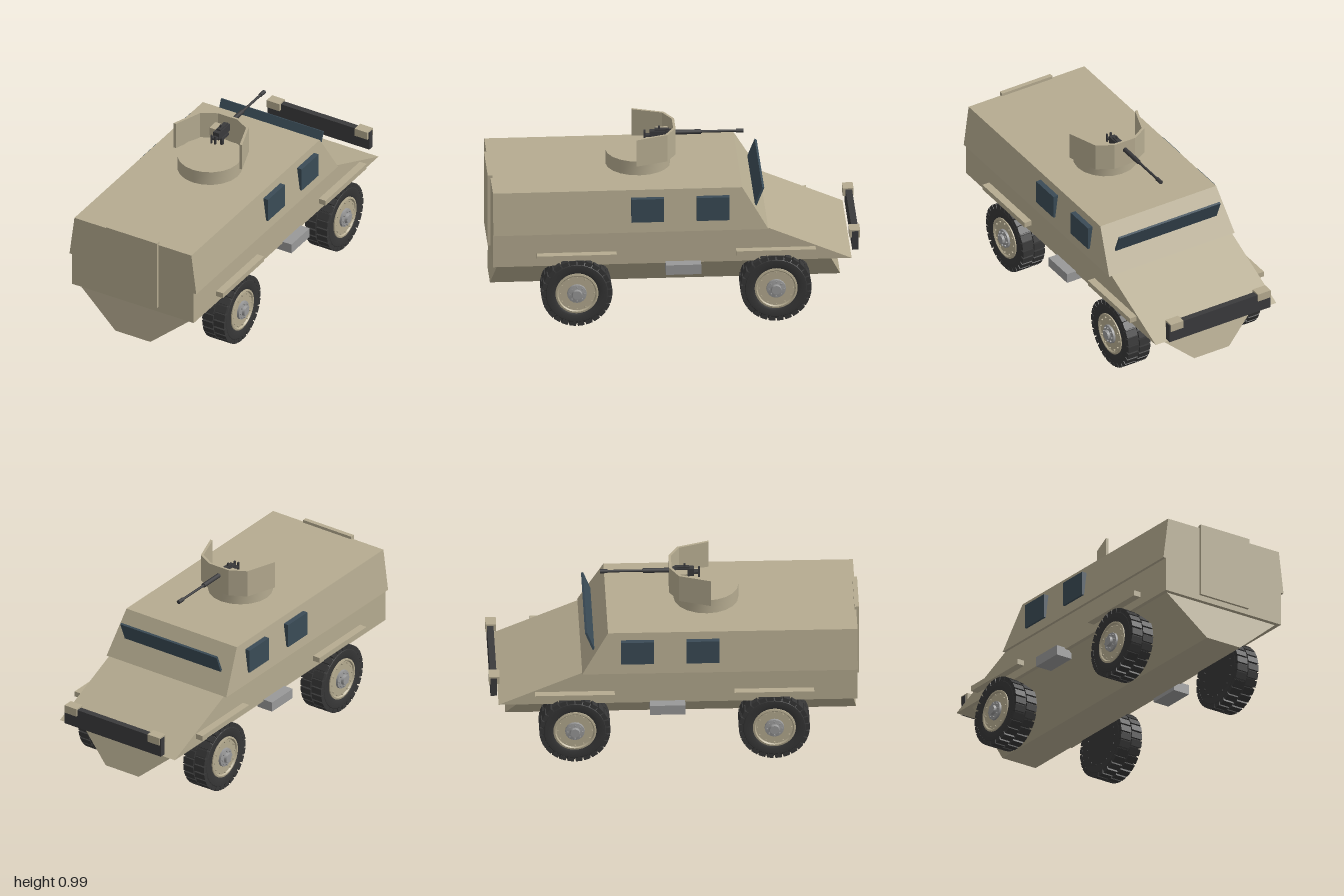
import * as THREE from 'three';
import { mergeGeometries, toCreasedNormals } from 'three/addons/utils/BufferGeometryUtils.js';

const mat = (color) => new THREE.MeshStandardMaterial({ color });
const tan = mat(0xb5ab90), dark = mat(0x3a3a3c), rubber = mat(0x363636);
const glass = mat(0x3a4b56), grey = mat(0x999999);

function add(parent, name, geometry, material, x = 0, y = 0, z = 0) {
  const mesh = new THREE.Mesh(geometry, material);
  mesh.name = name;
  mesh.position.set(x, y, z);
  parent.add(mesh);
  return mesh;
}

// Box given by its limits
function block(parent, name, material, x0, x1, y0, y1, z0, z1) {
  return add(parent, name, new THREE.BoxGeometry(x1 - x0, y1 - y0, z1 - z0), material,
    (x0 + x1) / 2, (y0 + y1) / 2, (z0 + z1) / 2);
}

// Tapered box: each end is [y, half width, z of hood end, z of door end]
function taper(bottom, top) {
  const geo = new THREE.BoxGeometry(1, 1, 1);
  const p = geo.attributes.position;
  for (let i = 0; i < p.count; i++) {
    const [y, hw, z0, z1] = p.getY(i) > 0 ? top : bottom;
    p.setXYZ(i, Math.sign(p.getX(i)) * hw, y, p.getZ(i) > 0 ? z1 : z0);
  }
  geo.computeVertexNormals();
  return geo;
}

// Solid of revolution about x, profile given as [radius, x]
function turned(profile, segments = 36) {
  const geo = new THREE.LatheGeometry(profile.map(([r, x]) => new THREE.Vector2(r, x)), segments);
  geo.rotateZ(-Math.PI / 2);
  return toCreasedNormals(geo, 0.5);
}

// Ring of copies of a geometry about the x axis
function ring(count, make, offset = 0) {
  const parts = [];
  for (let i = 0; i < count; i++) parts.push(make().rotateX(((i + offset) / count) * Math.PI * 2));
  return mergeGeometries(parts);
}

// Wheel with its outer face towards +x
function createWheel() {
  const wheel = new THREE.Group();
  wheel.name = 'wheel';
  add(wheel, 'tire', turned([[0, -0.066], [0.13, -0.066], [0.165, -0.07], [0.18, -0.06],
    [0.18, 0.06], [0.165, 0.07], [0.13, 0.072], [0.113, 0.064], [0.113, 0.045], [0, 0.045]]), rubber);
  // Two staggered rows of tread blocks
  for (const side of [-1, 1]) {
    const make = () => new THREE.BoxGeometry(0.066, 0.024, 0.036).translate(side * 0.036, 0.179, 0);
    add(wheel, 'treadBlocks', ring(26, make, side > 0 ? 0.5 : 0), rubber);
  }
  add(wheel, 'rim', turned([[0, 0.04], [0.116, 0.04], [0.116, 0.072], [0.106, 0.074], [0.1, 0.066], [0, 0.066]]), tan);
  const bolt = (r, x) => () => new THREE.CylinderGeometry(0.005, 0.005, 0.012, 6).rotateZ(Math.PI / 2).translate(x, r, 0);
  add(wheel, 'rimBolts', ring(12, bolt(0.092, 0.068)), tan);
  add(wheel, 'innerBolts', ring(16, bolt(0.125, -0.066)), rubber);
  add(wheel, 'hub', turned([[0, 0.06], [0.054, 0.06], [0.052, 0.078], [0.028, 0.082], [0.025, 0.097], [0, 0.097]], 16), grey);
  add(wheel, 'hubBolts', ring(8, bolt(0.04, 0.082)), grey);
  return wheel;
}

// Folded armour plate, open towards the rear door
function createShield() {
  const half = [[0.215, 0.2], [0.155, 0.03], [0.065, -0.02]];
  const outer = [...half, ...half.slice().reverse().map(([x, z]) => [-x, z])];
  const inner = outer.map(([x, z]) => [x * 0.93, 0.2 + (z - 0.2) * 0.94]).reverse();
  const shape = new THREE.Shape([...outer, ...inner].map(([x, z]) => new THREE.Vector2(x, -z)));
  return new THREE.ExtrudeGeometry(shape, { depth: 0.155, bevelEnabled: false }).rotateX(-Math.PI / 2);
}

// Gun pointing towards -z
function createGun() {
  const gun = new THREE.Group();
  gun.name = 'gun';
  const rod = (name, r, z0, z1, y = 0.943) =>
    add(gun, name, new THREE.CylinderGeometry(r, r, z1 - z0, 12).rotateX(Math.PI / 2), dark, 0, y, (z0 + z1) / 2);
  rod('barrel', 0.007, -0.38, 0);
  rod('barrelJacket', 0.013, -0.16, 0.02);
  rod('muzzle', 0.011, -0.39, -0.35);
  block(gun, 'receiver', dark, -0.018, 0.018, 0.915, 0.958, 0, 0.115);
  block(gun, 'topCover', dark, -0.012, 0.012, 0.958, 0.967, 0.01, 0.09);
  block(gun, 'rearSight', dark, -0.004, 0.004, 0.967, 0.982, 0.06, 0.07);
  block(gun, 'mountPlate', dark, -0.024, 0.024, 0.9, 0.915, 0.02, 0.09);
  block(gun, 'pintle', dark, -0.008, 0.008, 0.85, 0.9, 0.045, 0.062);
  block(gun, 'ammoBox', tan, -0.062, -0.018, 0.905, 0.952, 0.015, 0.08);
  for (const s of [-1, 1]) block(gun, 'grip', dark, s * 0.012 - 0.004, s * 0.012 + 0.004, 0.905, 0.955, 0.138, 0.148);
  block(gun, 'gripBridge', dark, -0.016, 0.016, 0.926, 0.936, 0.11, 0.142);
  return gun;
}

export function createModel() {
  const model = new THREE.Group();
  model.name = 'armouredCar';

  // Body: V-shaped hull, lower body with sloping hood, cabin
  add(model, 'hull', taper([0.135, 0.11, -0.905, 0.985], [0.347, 0.36, -0.835, 0.96]), tan);
  add(model, 'lowerBody', taper([0.345, 0.382, -0.95, 0.985], [0.54, 0.382, -0.49, 0.985]), tan);
  add(model, 'cabin', taper([0.535, 0.398, -0.5, 0.985], [0.772, 0.367, -0.36, 0.985]), tan);
  block(model, 'rearDoor', tan, -0.16, 0.16, 0.375, 0.788, 0.975, 1);

  // Windscreen plate leaning outwards
  const screen = add(model, 'windscreen', new THREE.BoxGeometry(0.64, 0.112, 0.012), glass, 0, 0.695, -0.456);
  screen.rotation.x = -0.38;

  // Bumper with mounting clips
  block(model, 'bumper', dark, -0.32, 0.32, 0.365, 0.472, -0.992, -0.957);
  for (const s of [-1, 1]) block(model, 'bumperClip', tan, s * 0.276 - 0.04, s * 0.276 + 0.04, 0.435, 0.48, -1, -0.942);

  // Parts on both sides
  for (const s of [-1, 1]) {
    const pair = (name, material, x0, x1, ...rest) =>
      block(model, name, material, Math.min(s * x0, s * x1), Math.max(s * x0, s * x1), ...rest);
    pair('sideWindow', glass, 0.37, 0.402, 0.595, 0.73, 0.063, 0.24);
    pair('sideWindow', glass, 0.37, 0.402, 0.595, 0.73, -0.29, -0.113);
    pair('step', grey, 0.34, 0.438, 0.298, 0.354, -0.135, 0.055);
    for (const z of [0.535, -0.54]) {
      pair('fender', tan, 0.375, 0.425, 0.39, 0.42, z - 0.215, z + 0.215);
      const wheel = createWheel();
      wheel.position.set(s * 0.349, 0.194, z);
      if (s < 0) wheel.rotation.y = Math.PI;
      model.add(wheel);
    }
  }

  // Turret
  const base = new THREE.CylinderGeometry(0.175, 0.175, 0.085, 20);
  add(model, 'turretBase', toCreasedNormals(base, 0.6), tan, 0, 0.81, 0.18);
  add(model, 'gunShield', createShield(), tan, 0, 0.841, 0);
  model.add(createGun());
  return model;
}
